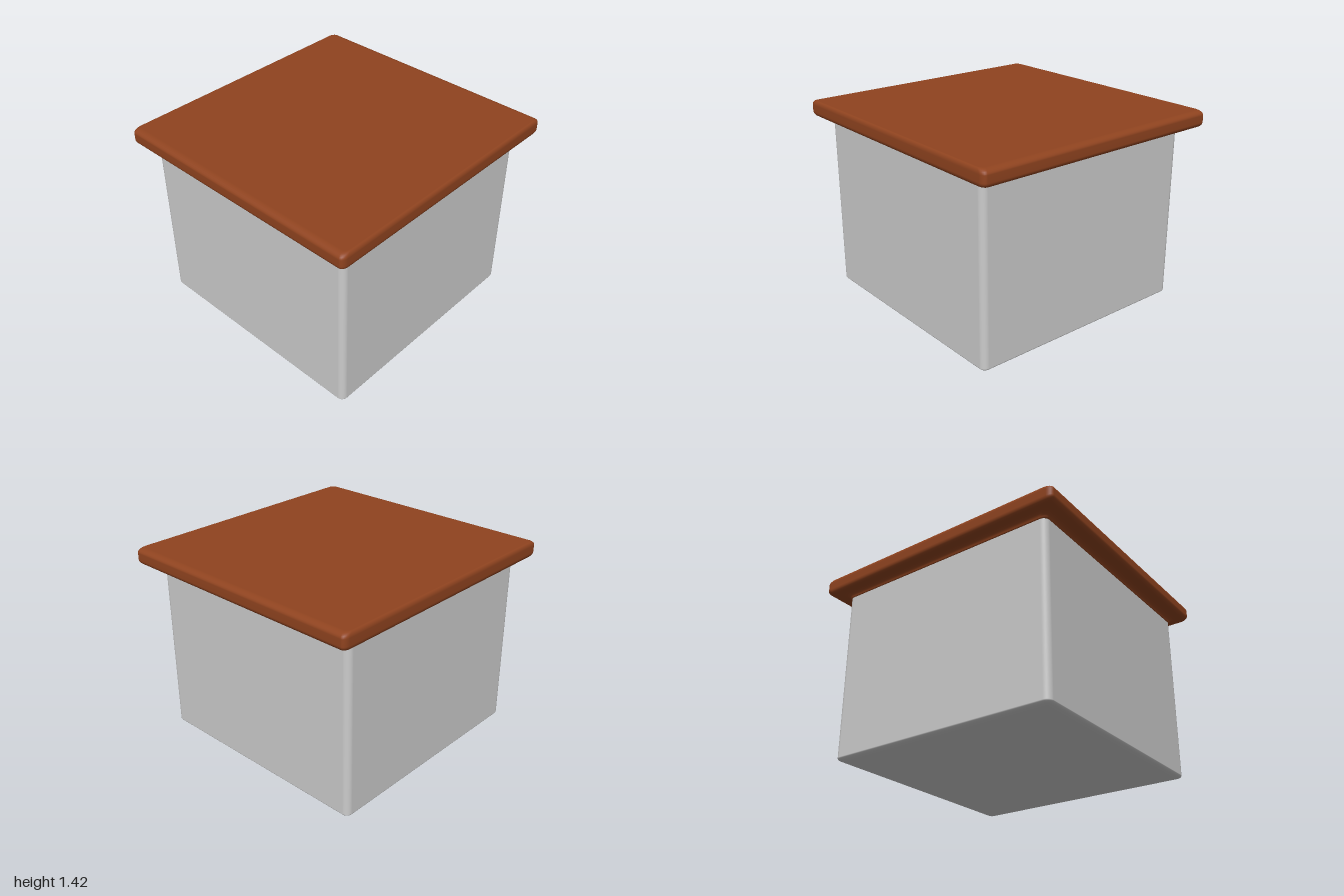
import * as THREE from 'three';
import { RoundedBoxGeometry } from 'three/addons/geometries/RoundedBoxGeometry.js';

const ARC = 6; // steps per rounded corner or moulding curve

// One rounded-rectangle outline: half sizes hx, hz and corner radii rx, rz
function outline({ x, z, y, cx = 0, rx = 0.045, rz = 0.03 }) {
  const points = [];
  for (let q = 0; q < 4; q++) {
    const sx = q === 0 || q === 3 ? 1 : -1;
    const sz = q < 2 ? 1 : -1;
    for (let i = 0; i <= ARC; i++) {
      const a = (q + i / ARC) * Math.PI / 2;
      points.push(cx + sx * (x - rx) + rx * Math.cos(a), y, sz * (z - rz) + rz * Math.sin(a));
    }
  }
  return points;
}

// Skin a stack of outlines from bottom to top and cap the top
function loft(rings) {
  const n = 4 * (ARC + 1);
  const positions = rings.flatMap(outline);
  const index = [];
  for (let r = 0; r < rings.length - 1; r++) {
    for (let i = 0; i < n; i++) {
      const a = r * n + i, b = r * n + (i + 1) % n;
      index.push(a, a + n, b, b, a + n, b + n);
    }
  }
  const top = (rings.length - 1) * n, centre = rings.length * n;
  positions.push(0, rings[rings.length - 1].y, 0);
  for (let i = 0; i < n; i++) index.push(centre, top + (i + 1) % n, top + i);
  const geometry = new THREE.BufferGeometry();
  geometry.setAttribute('position', new THREE.Float32BufferAttribute(positions, 3));
  geometry.setIndex(index);
  geometry.computeVertexNormals();
  return geometry;
}

export function createModel() {
  const group = new THREE.Group();
  const grey = new THREE.MeshStandardMaterial({ color: 0xcccccc });
  const brown = new THREE.MeshStandardMaterial({ color: 0x8f431f, side: THREE.DoubleSide });
  const offset = -0.015; // the body sits slightly off the lid's centre

  // Body: softly rounded block, its edge rounding flattened vertically
  const bodyGeometry = new RoundedBoxGeometry(1.74, 2.66, 1.74, 5, 0.045);
  bodyGeometry.scale(1, 0.5, 1);
  const body = new THREE.Mesh(bodyGeometry, grey);
  body.name = 'body';
  body.position.set(offset, 0.665, 0);
  group.add(body);

  // Lid: concave moulding under a slab with rounded edges
  const rings = [{ x: 0.85, z: 0.85, y: 1.262, cx: offset }];
  const curve = (fn) => {
    for (let i = 0; i <= ARC; i++) {
      const a = i / ARC * Math.PI / 2;
      rings.push(fn(Math.cos(a), Math.sin(a)));
    }
  };
  curve((c, s) => ({ x: 0.873 + 0.05 * (1 - c), z: 0.873 + 0.04 * (1 - c), y: 1.262 + 0.038 * s, cx: offset }));
  curve((c, s) => ({ x: 0.965 + 0.035 * s, z: 0.945 + 0.026 * s, y: 1.335 - 0.035 * c }));
  curve((c, s) => ({ x: 0.95 + 0.05 * c, z: 0.95 + 0.021 * c, y: 1.383 + 0.033 * s }));
  const lid = new THREE.Mesh(loft(rings), brown);
  lid.name = 'lid';
  group.add(lid);

  return group;
}
